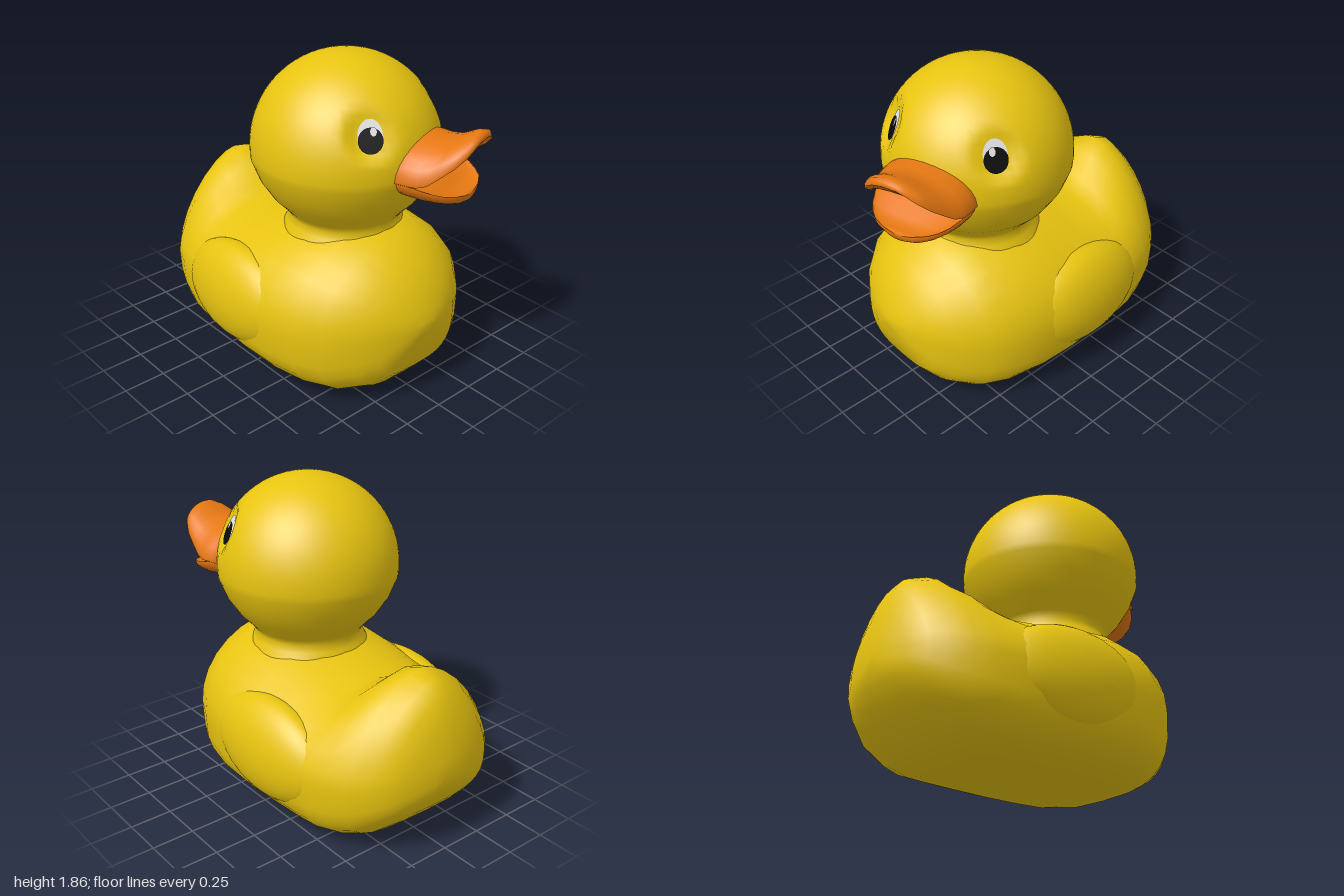
import * as THREE from 'three';
import { mergeVertices } from 'three/addons/utils/BufferGeometryUtils.js';

const mat = (name, color, side = THREE.FrontSide) => {
  const m = new THREE.MeshStandardMaterial({ side });
  m.color.set(color);
  m.name = name;
  return m;
};

// Closed smooth skin over cross-sections [x, halfWidth, yWidest, yTop, yBottom, topPower]
// A top power above 1 narrows the upper half, a lower power below 1 squares the underside
function loft(sections, lowerPow = 1, n = 28) {
  const pos = [], index = [];
  for (const [x, w, mid, top, bot, upperPow = 1] of sections) {
    for (let j = 0; j < n; j++) {
      const t = (j / n) * Math.PI * 2, c = Math.cos(t), s = Math.sin(t);
      const p = s >= 0 ? upperPow : lowerPow;
      const h = Math.pow(Math.abs(s), p);
      pos.push(x, mid + ((s >= 0 ? top : bot) - mid) * h, w * Math.sign(c) * Math.pow(Math.abs(c), p));
    }
  }
  const rows = sections.length;
  for (let i = 0; i < rows - 1; i++) {
    for (let j = 0; j < n; j++) {
      const a = i * n + j, b = i * n + (j + 1) % n;
      index.push(a, a + n, b + n, a, b + n, b);
    }
  }
  // end caps
  for (const [row, flip] of [[0, true], [rows - 1, false]]) {
    const [x, , mid, top, bot] = sections[row];
    const centre = pos.length / 3;
    pos.push(x, (Math.max(mid, top, bot) + Math.min(mid, top, bot)) / 2, 0);
    for (let j = 0; j < n; j++) {
      const a = row * n + j, b = row * n + (j + 1) % n;
      if (flip) index.push(centre, a, b);
      else index.push(centre, b, a);
    }
  }
  const g = new THREE.BufferGeometry();
  g.setAttribute('position', new THREE.Float32BufferAttribute(pos, 3));
  g.setIndex(index);
  const merged = mergeVertices(g, 1e-5);
  merged.computeVertexNormals();
  return merged;
}

// Eye socket centre and facing, on side s of the head
const eyeCentre = s => new THREE.Vector3(0.322, 0.215, s * 0.31);
const eyeNormal = s => new THREE.Vector3(0.3, 0.19, s * 0.35).normalize();

// Presses flat eye sockets into the skull
function pressSockets(g) {
  const p = g.attributes.position, v = new THREE.Vector3(), d = new THREE.Vector3();
  for (const s of [1, -1]) {
    const n = eyeNormal(s), c = eyeCentre(s);
    for (let i = 0; i < p.count; i++) {
      v.fromBufferAttribute(p, i);
      d.subVectors(v, c);
      const height = d.dot(n) + 0.006;
      const radial = Math.sqrt(Math.max(0, d.lengthSq() - d.dot(n) ** 2));
      if (height < 0 || d.length() > 0.3) continue;
      v.addScaledVector(n, -height * (1 - THREE.MathUtils.smoothstep(radial, 0.095, 0.15)));
      p.setXYZ(i, v.x, v.y, v.z);
    }
  }
  g.deleteAttribute('normal');
  g.deleteAttribute('uv');
  const merged = mergeVertices(g, 1e-5);
  merged.computeVertexNormals();
  return merged;
}

export function createModel() {
  const yellow = mat('yellow', 0xe8c410);
  const orange = mat('orange', 0xe67812, THREE.DoubleSide);
  const black = mat('black', 0x0a0a0a);
  const white = mat('white', 0xe6e6e6);

  const duck = new THREE.Group();
  duck.name = 'duck';
  const add = (parent, name, geometry, material) => {
    const m = new THREE.Mesh(geometry, material);
    m.name = name;
    parent.add(m);
    return m;
  };

  // Body with upturned tail, from tail to chest
  add(duck, 'body', loft([
    [-1.0, 0.1, 0.48, 0.58, 0.4],
    [-0.97, 0.25, 0.47, 0.74, 0.33, 1.15],
    [-0.92, 0.36, 0.46, 0.89, 0.25, 1.25],
    [-0.85, 0.44, 0.45, 0.97, 0.17, 1.3],
    [-0.75, 0.52, 0.44, 1.01, 0.08, 1.3],
    [-0.63, 0.57, 0.43, 0.965, 0.025, 1.25],
    [-0.52, 0.6, 0.42, 0.865, 0, 1.1],
    [-0.41, 0.62, 0.42, 0.815, 0],
    [-0.2, 0.64, 0.42, 0.85, 0],
    [0.03, 0.655, 0.42, 0.91, 0],
    [0.25, 0.65, 0.43, 0.94, 0],
    [0.45, 0.605, 0.43, 0.935, 0],
    [0.6, 0.535, 0.43, 0.89, 0.02],
    [0.73, 0.41, 0.44, 0.78, 0.08],
    [0.81, 0.29, 0.44, 0.67, 0.17],
    [0.86, 0.16, 0.45, 0.56, 0.33],
    [0.88, 0.06, 0.46, 0.49, 0.42],
  ], 0.62), yellow);

  // Wings, shallow bulges on both flanks
  for (const s of [1, -1]) {
    const wing = add(duck, s > 0 ? 'wingFront' : 'wingBack', new THREE.SphereGeometry(1, 28, 18), yellow);
    wing.scale.set(0.46, 0.29, 0.165);
    wing.position.set(-0.12, 0.44, s * 0.525);
    wing.rotation.set(-s * 0.12, -s * 0.05, 0.06);
  }

  // Head group, turned a little to one side
  const head = new THREE.Group();
  head.name = 'head';
  head.position.set(0.21, 1.33, 0);
  head.rotation.y = 0.3;
  duck.add(head);

  // Skull and neck in one turned profile
  const profile = [[0.36, -0.5], [0.33, -0.44], [0.315, -0.4], [0.335, -0.36], [0.42, -0.27], [0.485, -0.17]]
    .map(([x, y]) => new THREE.Vector2(x, y));
  for (let i = 0; i <= 22; i++) {
    const a = -0.12 + (i / 22) * (Math.PI / 2 + 0.12);
    profile.push(new THREE.Vector2(i === 22 ? 0 : 0.53 * Math.cos(a), 0.53 * Math.sin(a)));
  }
  add(head, 'skullAndNeck', pressSockets(new THREE.LatheGeometry(profile, 72)), yellow);

  // Eyes: white oval, black pupil, small glint, stacked in each socket
  for (const s of [1, -1]) {
    const eye = new THREE.Group();
    eye.name = s > 0 ? 'eyeFront' : 'eyeBack';
    eye.position.copy(eyeCentre(s));
    eye.lookAt(eyeCentre(s).add(eyeNormal(s)));
    head.add(eye);
    const oval = (name, x, y, z, rx, ry, material) => {
      const m = add(eye, name, new THREE.CircleGeometry(1, 24), material);
      m.position.set(x, y, z);
      m.scale.set(rx, ry, 1);
    };
    oval('eyeWhite', 0, 0, 0, 0.066, 0.09, white);
    oval('eyePupil', 0, -0.022, 0.004, 0.066, 0.068, black);
    oval('eyeGlint', s * 0.016, 0.024, 0.008, 0.017, 0.024, white);
  }

  // Open bill: arched upper half and dished lower half, meeting at the throat
  add(head, 'upperBill', loft([
    [0.38, 0.27, -0.03, 0.18, -0.06],
    [0.5, 0.285, -0.02, 0.175, -0.05],
    [0.57, 0.275, -0.025, 0.17, -0.02],
    [0.62, 0.257, -0.01, 0.175, 0.03],
    [0.67, 0.235, 0.03, 0.19, 0.085],
    [0.74, 0.2, 0.09, 0.225, 0.145],
    [0.785, 0.16, 0.14, 0.235, 0.18],
    [0.805, 0.1, 0.18, 0.22, 0.19],
  ]), orange);
  add(head, 'lowerBill', loft([
    [0.36, 0.25, -0.03, 0.0, -0.155],
    [0.5, 0.28, -0.025, -0.02, -0.16],
    [0.57, 0.27, -0.035, -0.045, -0.165],
    [0.64, 0.24, -0.055, -0.09, -0.165],
    [0.69, 0.205, -0.07, -0.105, -0.165],
    [0.73, 0.16, -0.08, -0.105, -0.16],
    [0.755, 0.09, -0.095, -0.105, -0.145],
  ]), orange);

  return duck;
}
